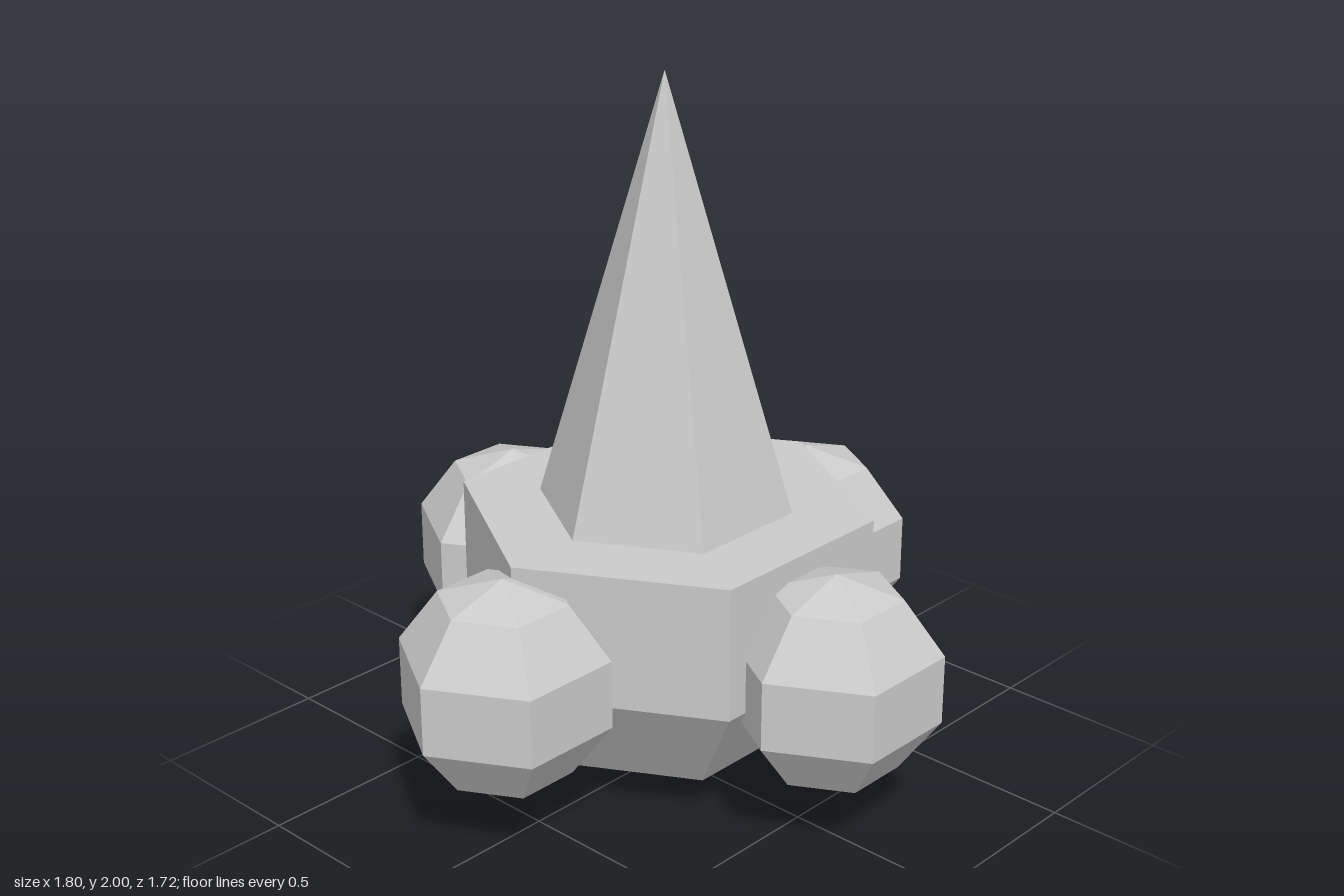
import * as THREE from 'three';

const material = new THREE.MeshStandardMaterial({ color: 0xcccccc, flatShading: true });

// Six-sided turned part with corners on the x axis; profile runs bottom to top.
function hexLathe(name, profile) {
  const points = profile.map(([r, y]) => new THREE.Vector2(r, y));
  const mesh = new THREE.Mesh(new THREE.LatheGeometry(points, 6, Math.PI / 2), material);
  mesh.name = name;
  return mesh;
}

export function createModel() {
  const model = new THREE.Group();
  model.name = 'spikedBody';

  // Hexagonal body: pointed underside, straight sides, flat top
  model.add(hexLathe('body', [[0, 0.005], [0.357, 0.12], [0.578, 0.422], [0.578, 0.8], [0, 0.8]]));

  // Tall spike on top
  model.add(hexLathe('spike', [[0, 0.8], [0.355, 0.8], [0, 2]]));

  // Four faceted balls around the body
  const ballProfile = [[0, -0.302], [0.178, -0.247], [0.289, -0.097], [0.289, 0.097], [0.178, 0.247], [0, 0.302]];
  const places = { leftBall: [1, 0], rightBall: [-1, 0], frontBall: [0, 1], backBall: [0, -1] };
  for (const [name, [x, z]] of Object.entries(places)) {
    const ball = hexLathe(name, ballProfile);
    ball.position.set(x * 0.609, 0.477, z * 0.609);
    model.add(ball);
  }

  return model;
}
